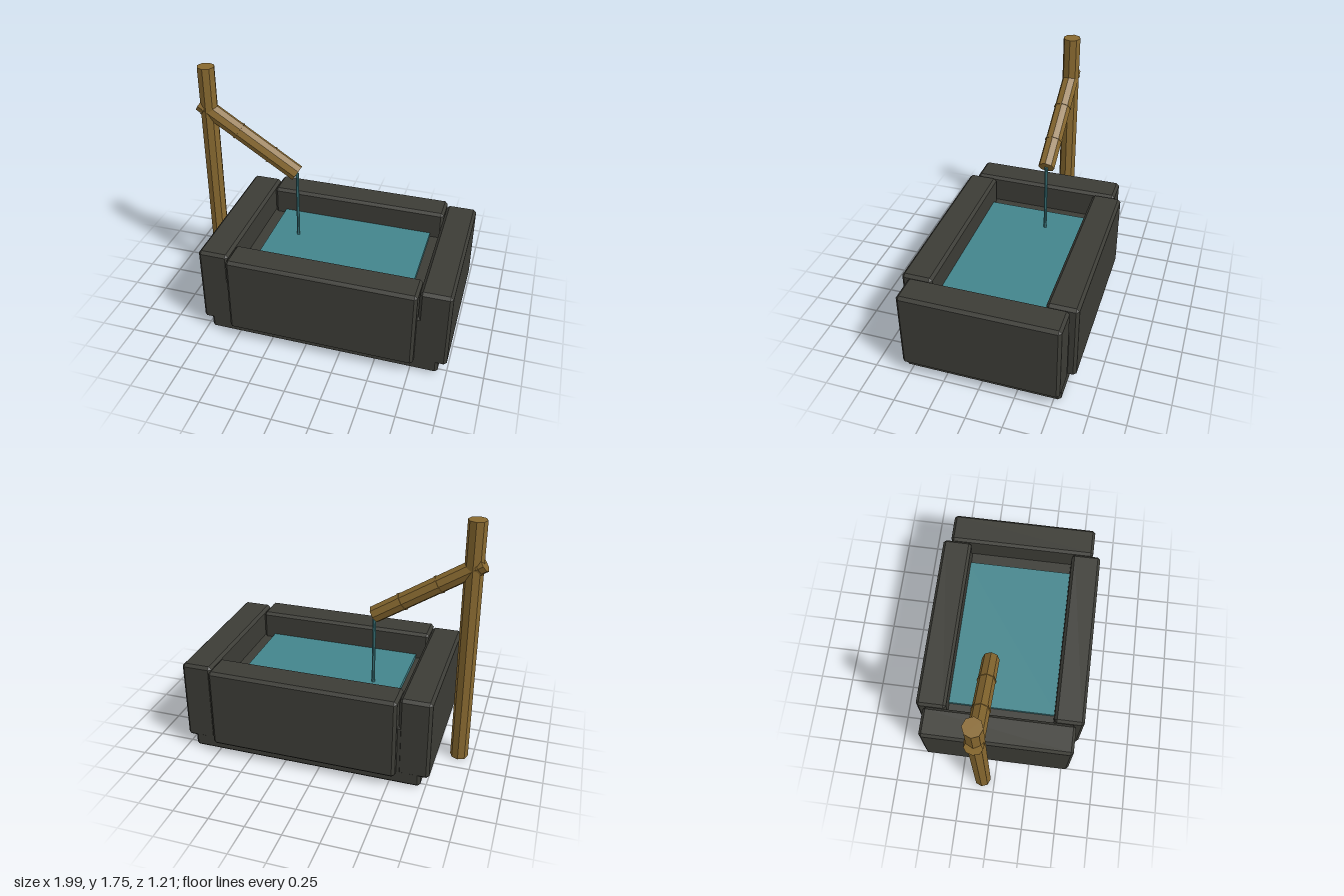
import * as THREE from 'three';
import { ConvexGeometry } from 'three/addons/geometries/ConvexGeometry.js';

const stone = new THREE.MeshStandardMaterial({ color: 0x3c3c36 });
const bamboo = new THREE.MeshStandardMaterial({ color: 0x886930 });
const water = new THREE.MeshStandardMaterial({ color: 0x43858c });
stone.name = 'stone';
bamboo.name = 'bamboo';
water.name = 'water';

// Block between two corners with chamfered edges
function stoneBlock(name, [x0, y0, z0], [x1, y1, z1], c = 0.02) {
  const half = [(x1 - x0) / 2, (y1 - y0) / 2, (z1 - z0) / 2];
  const points = [];
  for (const sx of [-1, 1]) for (const sy of [-1, 1]) for (const sz of [-1, 1]) {
    for (let face = 0; face < 3; face++) {
      const p = half.map((h, i) => (i === face ? h : h - c));
      points.push(new THREE.Vector3(sx * p[0], sy * p[1], sz * p[2]));
    }
  }
  const mesh = new THREE.Mesh(new ConvexGeometry(points), stone);
  mesh.position.set((x0 + x1) / 2, (y0 + y1) / 2, (z0 + z1) / 2);
  mesh.name = name;
  return mesh;
}

// Flat-sided rod along y
function rod(name, radius, length, material, sides = 8) {
  const geometry = new THREE.CylinderGeometry(radius, radius, length, sides).toNonIndexed();
  geometry.computeVertexNormals();
  const mesh = new THREE.Mesh(geometry, material);
  mesh.name = name;
  return mesh;
}

export function createModel() {
  const model = new THREE.Group();
  model.name = 'bambooFountain';

  // Stone basin: base, filled core and four rim blocks
  const basin = new THREE.Group();
  basin.name = 'basin';
  basin.add(
    stoneBlock('base', [-0.715, 0, -0.55], [0.94, 0.46, 0.55]),
    stoneBlock('frontWall', [-0.55, 0.08, 0.39], [0.775, 0.665, 0.607]),
    stoneBlock('backWall', [-0.55, 0.08, -0.607], [0.775, 0.665, -0.39]),
    stoneBlock('rightWall', [-0.772, 0.08, -0.552], [-0.553, 0.665, 0.55]),
    stoneBlock('leftWall', [0.778, 0.08, -0.552], [0.997, 0.665, 0.55]),
  );
  model.add(basin);

  // Water surface
  const pool = new THREE.Mesh(new THREE.BoxGeometry(1.145, 0.04, 0.82), water);
  pool.position.set(0.1125, 0.47, 0);
  pool.name = 'poolWater';
  model.add(pool);

  // Upright post
  const post = rod('post', 0.063, 1.755, bamboo);
  post.position.set(-0.903, 0.8775, -0.093);
  model.add(post);

  // Sloping spout, built upward from its mouth
  const spout = new THREE.Group();
  spout.name = 'spout';
  const pipe = rod('spoutPipe', 0.06, 0.84, bamboo);
  pipe.position.y = 0.42;
  spout.add(pipe);
  for (const y of [0.225, 0.51, 0.795]) {
    const ring = rod('spoutRing', 0.065, 0.012, bamboo);
    ring.position.y = y;
    spout.add(ring);
  }
  spout.position.set(-0.258, 1.018, -0.093);
  spout.rotation.z = THREE.MathUtils.degToRad(57.3);
  model.add(spout);

  // Falling water
  const stream = rod('waterStream', 0.012, 0.54, water);
  stream.position.set(-0.258, 0.75, -0.093);
  model.add(stream);

  return model;
}
